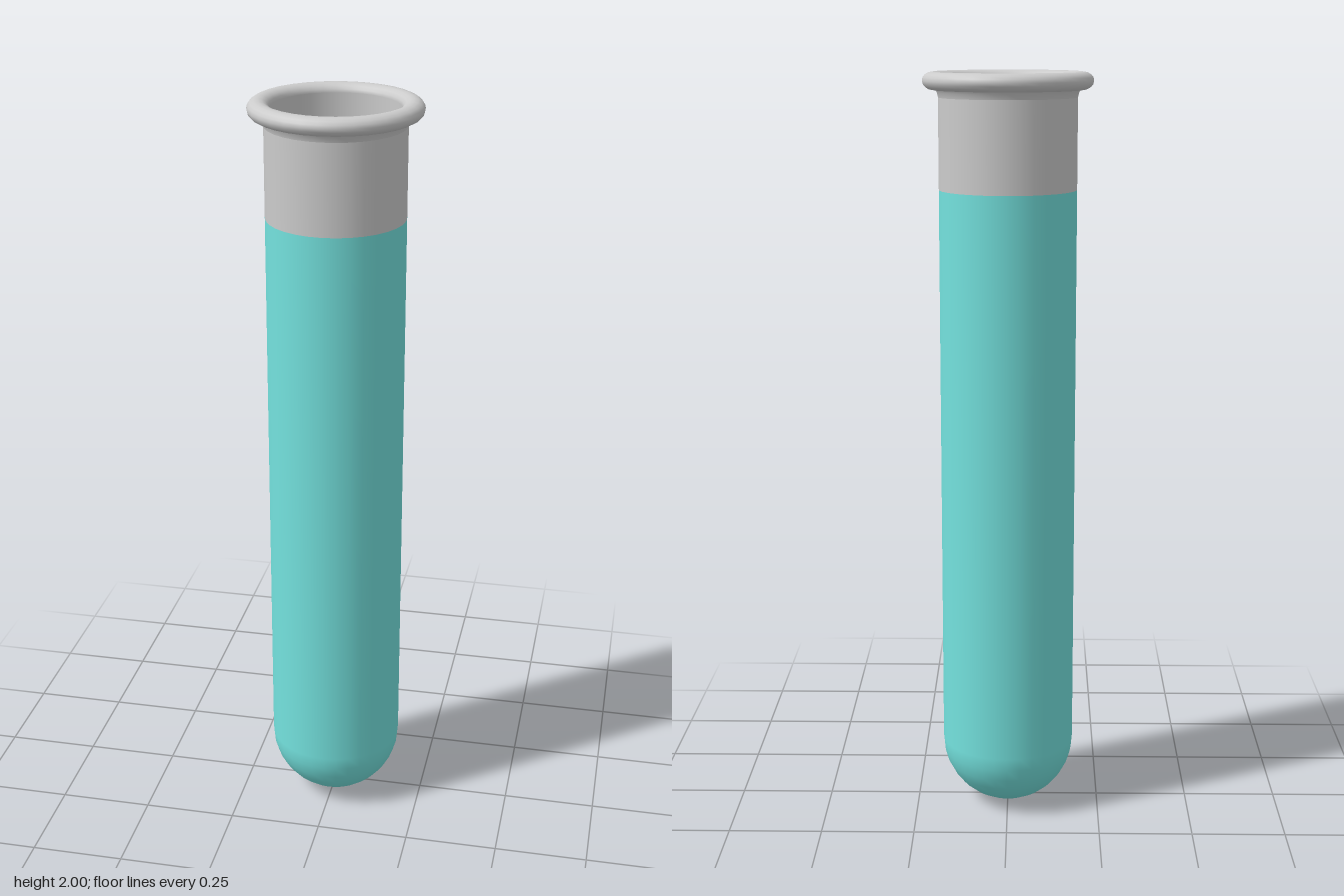
import * as THREE from 'three';

const SIDES = 32;
const OUTER = 0.18, INNER = 0.165; // wall radii
const LEVEL = 1.7;                 // height where the colour ends

const v = (x, y) => new THREE.Vector2(x, y);

// Quarter-round bottom, from the axis out to the wall
function bowl(radius, steps = 8) {
  return Array.from({ length: steps + 1 }, (_, i) => {
    const a = (i / steps) * Math.PI / 2;
    return v(radius * Math.sin(a), OUTER - radius * Math.cos(a));
  });
}

function lathe(name, points, color) {
  const material = new THREE.MeshStandardMaterial({ color, side: THREE.DoubleSide });
  const mesh = new THREE.Mesh(new THREE.LatheGeometry(points, SIDES), material);
  mesh.name = name;
  return mesh;
}

export function createModel() {
  const group = new THREE.Group();
  group.name = 'testTube';
  const teal = 0x74e2de, grey = 0xcccccc;

  // Coloured lower tube: round-bottomed outside and inside walls
  group.add(lathe('filledOuterWall', [...bowl(OUTER), v(OUTER, LEVEL)], teal));
  group.add(lathe('filledInnerWall', [v(INNER, LEVEL), ...bowl(INNER).reverse()], teal));

  // Clear neck above the fill level
  group.add(lathe('neckOuterWall', [v(OUTER, LEVEL), v(OUTER, 1.965)], grey));
  group.add(lathe('neckInnerWall', [v(INNER, 1.978), v(INNER, LEVEL)], grey));

  // Rolled lip: a flattened bead around the mouth
  const lip = [];
  for (let i = 0; i <= 16; i++) {
    const a = -Math.PI / 2 + (i / 16) * Math.PI * 2;
    lip.push(v(0.193 + 0.028 * Math.cos(a), 1.977 + 0.023 * Math.sin(a)));
  }
  group.add(lathe('lip', lip, grey));

  // Small flare blending the neck into the lip
  group.add(lathe('lipFlare', [v(OUTER, 1.935), v(0.183, 1.948), v(0.19, 1.957)], grey));

  return group;
}
